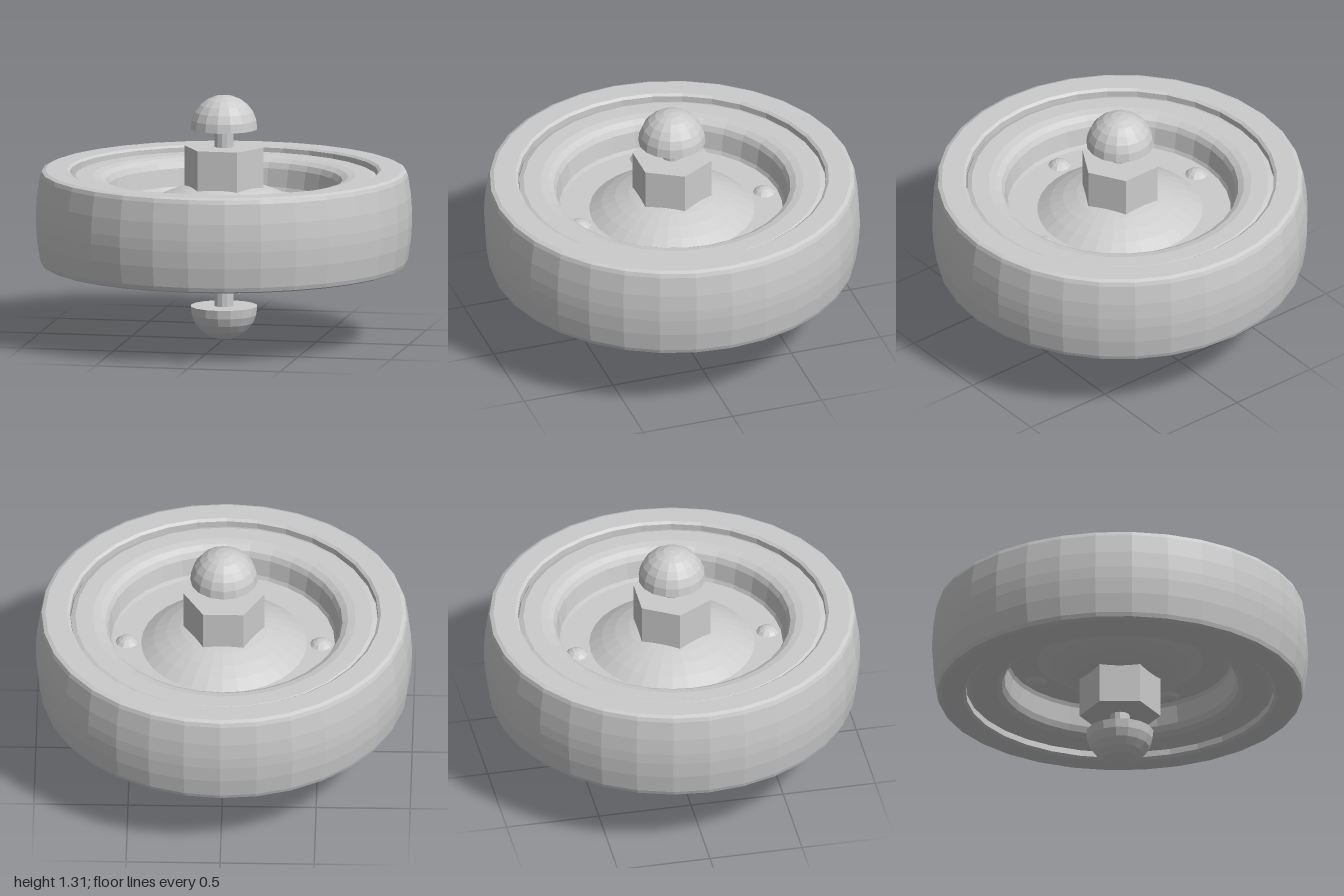
import * as THREE from 'three';

const MID = 0.658; // height of the wheel's centre plane
const SEGMENTS = 32;
const material = new THREE.MeshStandardMaterial({ color: 0xcccccc, flatShading: true });

function addMesh(parent, name, geometry, y = 0) {
  const mesh = new THREE.Mesh(geometry, material);
  mesh.name = name;
  mesh.position.y = y;
  parent.add(mesh);
  return mesh;
}

// Lathe a closed ring from [radius, height] points of its upper half,
// listed from the outside in; the lower half is mirrored.
function mirroredRing(upper) {
  const lower = upper.map(([r, y]) => [r, -y]).reverse();
  const profile = [...lower, ...upper];
  if (upper.at(-1)[0] > 0) profile.push(lower[0]);
  return new THREE.LatheGeometry(profile.map(([r, y]) => new THREE.Vector2(r, y)), SEGMENTS);
}

// Shallow or full dome of given base radius and height, rising from y = 0
function dome(radius, height, widthSegments, rings) {
  const sphereRadius = (radius * radius + height * height) / (2 * height);
  const angle = Math.acos((sphereRadius - height) / sphereRadius);
  const geometry = new THREE.SphereGeometry(sphereRadius, widthSegments, rings, 0, Math.PI * 2, 0, angle);
  return geometry.translate(0, height - sphereRadius, 0);
}

// Everything that sits on one face of the wheel
function createFace() {
  const face = new THREE.Group();
  const webTop = 0.055;

  addMesh(face, 'hubDome', dome(0.44, 0.14, SEGMENTS, 6), webTop);

  for (let i = 0; i < 4; i++) {
    const a = (i * Math.PI) / 2;
    const rivet = addMesh(face, 'rivet', dome(0.06, 0.03, 10, 3), webTop);
    rivet.position.x = Math.cos(a) * 0.517;
    rivet.position.z = Math.sin(a) * 0.517;
  }

  // Rounded axle cap with a flat underside
  addMesh(face, 'axleCap', dome(0.18, 0.18, 16, 6), 0.477);
  addMesh(face, 'axleCapBase', new THREE.CircleGeometry(0.18, 16).rotateX(Math.PI / 2), 0.477);
  return face;
}

export function createModel() {
  const model = new THREE.Group();
  model.name = 'wheel';
  const wheel = new THREE.Group();
  wheel.name = 'wheelAssembly';
  wheel.position.y = MID;
  model.add(wheel);

  // Bulging tyre with softened shoulders
  addMesh(wheel, 'tyre', mirroredRing([
    [1.0, 0.03], [0.994, 0.12], [0.978, 0.225], [0.97, 0.247], [0.95, 0.256],
    [0.835, 0.256], [0.82, 0.245], [0.82, 0.15],
  ]));

  // Rim with rounded flanges and a thin recessed web
  addMesh(wheel, 'rim', mirroredRing([
    [0.825, 0.2], [0.815, 0.215], [0.79, 0.226], [0.7, 0.226], [0.66, 0.218],
    [0.63, 0.2], [0.615, 0.17], [0.6, 0.075], [0.59, 0.055], [0, 0.055],
  ]));

  // Hexagonal hub and thin axle running right through
  addMesh(wheel, 'hexHub', new THREE.CylinderGeometry(0.215, 0.215, 0.76, 6).rotateY(Math.PI / 6));
  addMesh(wheel, 'axle', new THREE.CylinderGeometry(0.052, 0.052, 0.96, 12));

  const top = createFace();
  top.name = 'upperFace';
  const bottom = createFace();
  bottom.name = 'lowerFace';
  bottom.rotation.x = Math.PI;
  wheel.add(top, bottom);

  return model;
}
